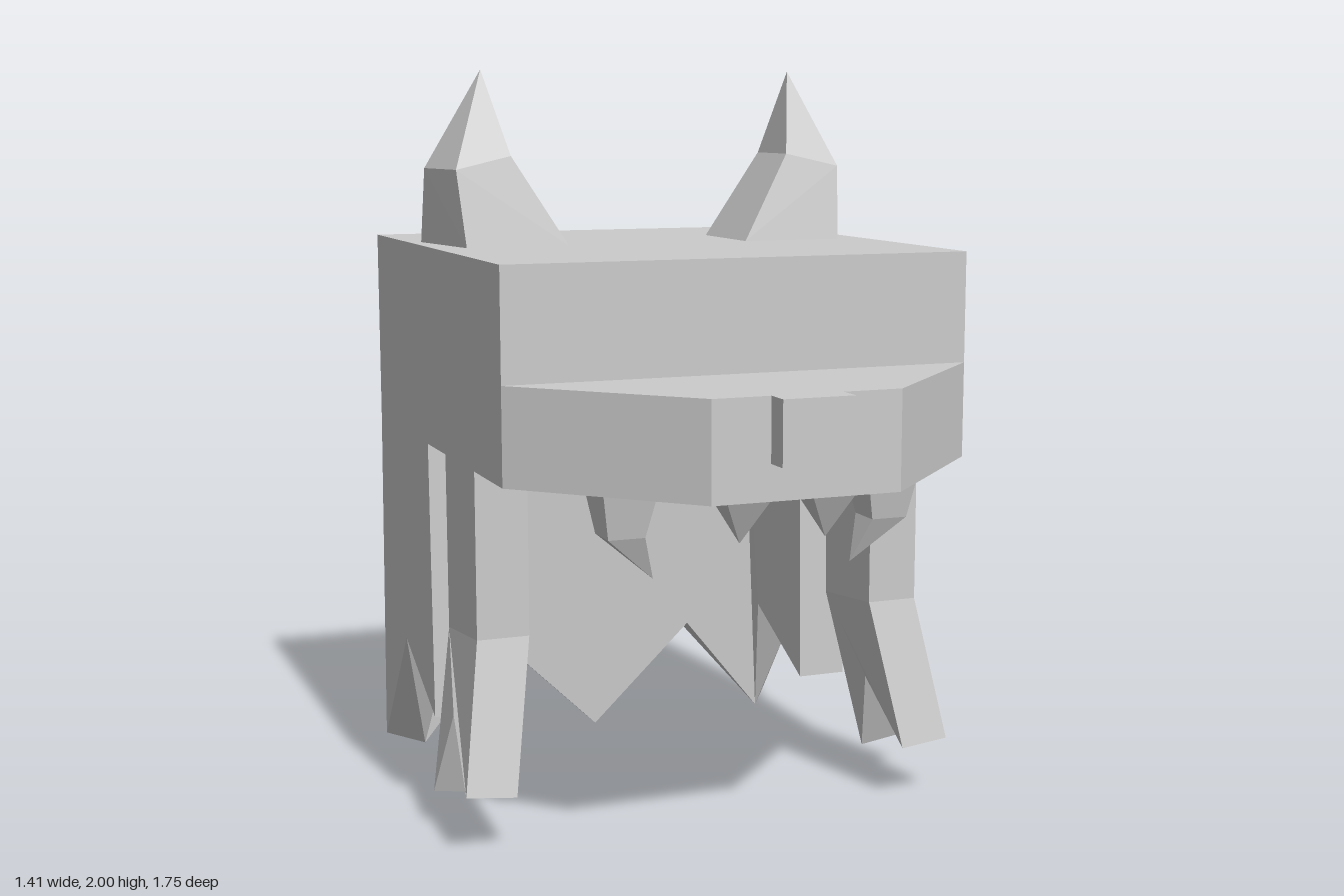
import * as THREE from 'three';

const material = new THREE.MeshStandardMaterial({ color: 0xcccccc, flatShading: true });

// Joins rings of equal length into a closed solid; (a, b) are the axes the end caps are triangulated in
function loft(rings, a, b) {
  const tris = [], n = rings[0].length;
  for (let r = 0; r < rings.length - 1; r++) {
    const p = rings[r], q = rings[r + 1];
    for (let i = 0; i < n; i++) {
      const j = (i + 1) % n;
      tris.push([p[i], p[j], q[j]], [p[i], q[j], q[i]]);
    }
  }
  const cap = (ring, flip) => {
    let flat = ring.map(p => new THREE.Vector2(p[a], p[b]));
    const area = THREE.ShapeUtils.area(flat);
    if (Math.abs(area) < 1e-6) return; // pointed end
    let pts = ring;
    const cw = area < 0;
    if (cw) { flat = flat.slice().reverse(); pts = ring.slice().reverse(); }
    for (const [i, j, k] of THREE.ShapeUtils.triangulateShape(flat, [])) {
      tris.push(cw !== flip ? [pts[k], pts[j], pts[i]] : [pts[i], pts[j], pts[k]]);
    }
  };
  cap(rings[0], true);
  cap(rings[rings.length - 1], false);

  // Turn every face outwards, using the sign of the enclosed volume
  let volume = 0;
  const u = new THREE.Vector3(), v = new THREE.Vector3(), w = new THREE.Vector3();
  for (const t of tris) volume += u.fromArray(t[0]).dot(v.fromArray(t[1]).cross(w.fromArray(t[2])));
  if (volume < 0) tris.forEach(t => t.reverse());
  const geometry = new THREE.BufferGeometry();
  geometry.setAttribute('position', new THREE.Float32BufferAttribute(tris.flat(2), 3));
  geometry.computeVertexNormals();
  return geometry;
}

export function createModel() {
  const model = new THREE.Group();
  model.name = 'hornedBeast';

  const add = (name, geometry) => {
    const mesh = new THREE.Mesh(geometry, material);
    mesh.name = name;
    model.add(mesh);
  };
  const box = (name, x0, x1, y0, y1, z0, z1) => add(name,
    new THREE.BoxGeometry(x1 - x0, y1 - y0, z1 - z0)
      .translate((x0 + x1) / 2, (y0 + y1) / 2, (z0 + z1) / 2));
  // Adds a left part and its mirror image; dx shifts both along x
  const pair = (name, rings, a, b, dx = 0) => {
    for (const [side, s] of [['left', 1], ['right', -1]]) {
      add(side + name, loft(rings.map(r => r.map(([x, y, z]) => [s * x + dx, y, z])), a, b));
    }
  };

  // Head block, tapered snout and nose
  box('head', -0.63, 0.63, 0.99, 1.53, -0.84, 0.42);
  const snout = y => [[-0.63, y, 0.42], [0.63, y, 0.42], [0.245, y, 0.81], [-0.245, y, 0.81]];
  add('snout', loft([snout(0.99), snout(1.24)], 0, 2));
  box('nose', -0.095, 0.09, 1.08, 1.24, 0.81, 0.875);

  // Pointed ears, leaning inwards
  pair('Ear', [
    [[0.26, 1.53, -0.465], [0.26, 1.53, -0.17], [0.545, 1.53, -0.17], [0.595, 1.53, -0.46]],
    [[0.405, 1.77, -0.42], [0.405, 1.77, -0.22], [0.56, 1.735, -0.21], [0.595, 1.735, -0.41]],
    Array(4).fill([0.455, 2, -0.33]),
  ], 0, 2);

  // Teeth and fangs
  const square = (x0, x1, y, z0, z1) => [[x0, y, z0], [x1, y, z0], [x1, y, z1], [x0, y, z1]];
  pair('Tooth', [
    square(0.05, 0.173, 0.99, 0.635, 0.755),
    Array(4).fill([0.113, 0.87, 0.695]),
  ], 0, 2, -0.012);
  pair('Fang', [
    square(0.28, 0.42, 0.99, 0.455, 0.6),
    square(0.305, 0.4, 0.875, 0.48, 0.575),
    Array(4).fill([0.267, 0.76, 0.525]),
  ], 0, 2, -0.015);

  // Front legs: straight above the bend, splayed and forked below it
  pair('FrontLegUpper', [0.63, 0.49].map(x => [
    [x, 0.99, 0.17], [x, 0.55, 0.17], [x, 0.52, -0.105], [x, 0.99, -0.11],
  ]), 2, 1);
  pair('FrontLegLower', [
    [[0.63, 0.55, 0.17], [0.69, 0.165, 0.26], [0.67, 0.33, 0.075], [0.705, 0.1, -0.01], [0.63, 0.52, -0.105]],
    [[0.49, 0.55, 0.17], [0.555, 0.15, 0.26], [0.53, 0.31, 0.075], [0.565, 0.08, -0.01], [0.49, 0.52, -0.105]],
  ], 2, 1);

  // Ragged flanks, mitred into the back panel
  pair('Flank', [
    [[0.63, 0.99, -0.295], [0.63, 0.22, -0.275], [0.63, 0.37, -0.59], [0.63, 0, -0.875], [0.63, 0.99, -0.84]],
    [[0.49, 0.99, -0.295], [0.49, 0.22, -0.275], [0.49, 0.37, -0.59], [0.545, 0, -0.735], [0.49, 0.99, -0.7]],
  ], 2, 1);

  // Back panel with a zigzag hem
  const back = (top, tip, zTop, zNotch, zTip) => [
    [-top, 0.99, zTop], [-tip, 0, zTip], [-0.305, 0.295, zNotch], [0, 0, zTip],
    [0.305, 0.295, zNotch], [tip, 0, zTip], [top, 0.99, zTop],
  ];
  add('backPanel', loft([
    back(0.63, 0.63, -0.84, -0.866, -0.875),
    back(0.49, 0.545, -0.7, -0.725, -0.735),
  ], 0, 1));

  return model;
}
